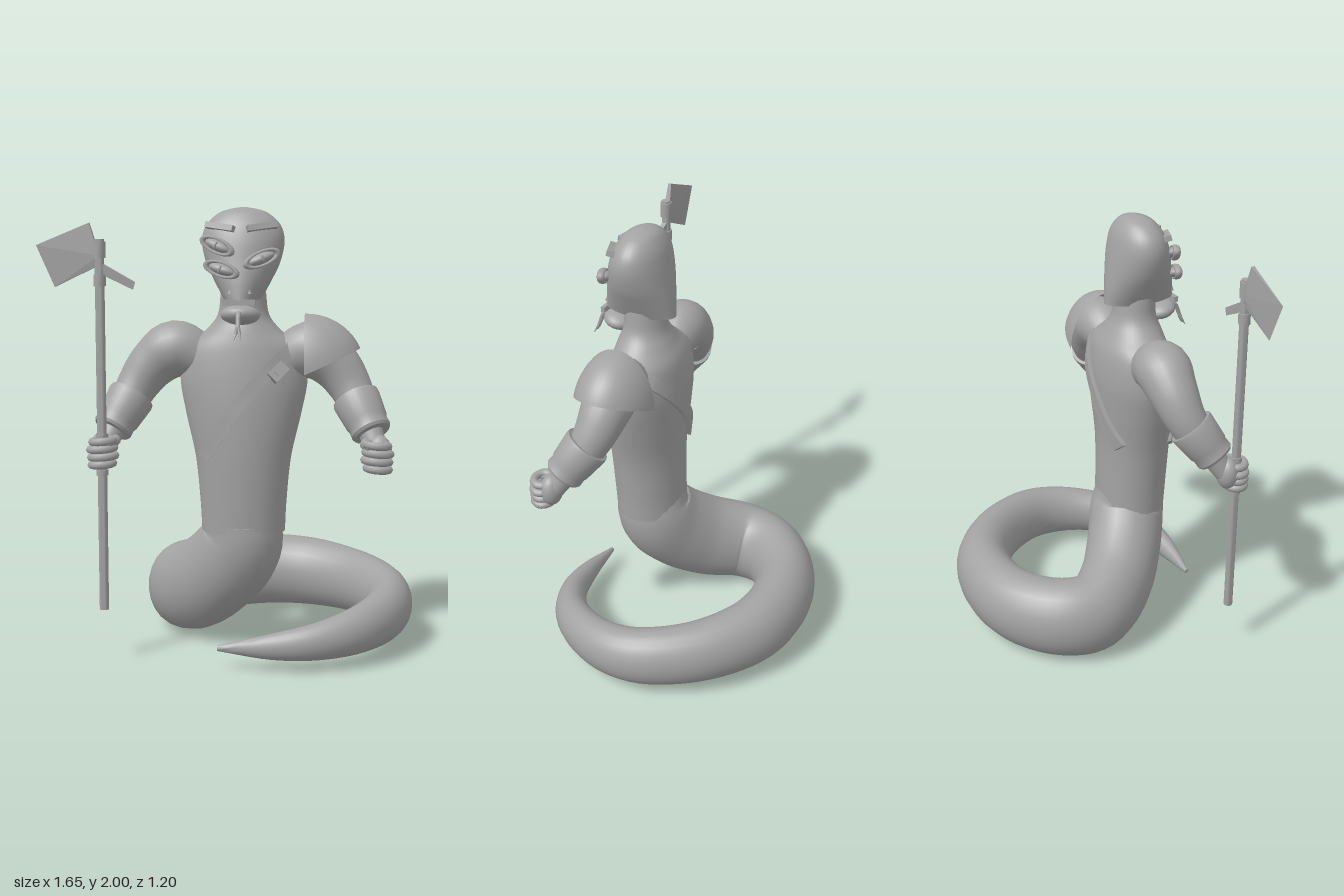
import * as THREE from 'three';
import { toCreasedNormals } from 'three/addons/utils/BufferGeometryUtils.js';
import { ConvexGeometry } from 'three/addons/geometries/ConvexGeometry.js';

const V = (x, y, z) => new THREE.Vector3(x, y, z);
const CX = 0.055; // the body's own centre line

// smooth interpolation between rows of numbers
function smooth(rows, n) {
  const f = new THREE.CubicInterpolant(rows.map((_, i) => i), rows.flat(), rows[0].length);
  return Array.from({ length: n + 1 }, (_, i) => Array.from(f.evaluate((i / n) * (rows.length - 1))));
}

// closed surface over a list of rings, with end caps
function skin(rings, crease = 0.8) {
  const m = rings[0].length, pos = [], idx = [];
  const add = (p) => pos.push(p.x, p.y, p.z) / 3 - 1;
  rings.forEach((r) => r.forEach(add));
  for (let i = 0; i < rings.length - 1; i++) {
    for (let j = 0; j < m; j++) {
      const a = i * m + j, b = i * m + (j + 1) % m;
      idx.push(a, b, a + m, b, b + m, a + m);
    }
  }
  [0, rings.length - 1].forEach((k) => {
    const c = add(rings[k].reduce((s, p) => s.add(p), V(0, 0, 0)).divideScalar(m));
    for (let j = 0; j < m; j++) {
      const a = k * m + j, b = k * m + (j + 1) % m;
      if (k) idx.push(c, a, b); else idx.push(c, b, a);
    }
  });
  const g = new THREE.BufferGeometry();
  g.setAttribute('position', new THREE.Float32BufferAttribute(pos, 3));
  g.setIndex(idx);
  return toCreasedNormals(g, crease);
}

// horizontal oval sections: [y, rx, cz, rz]
const loft = (rows, n, m = 32) => skin(smooth(rows, n).map(([y, rx, cz, rz]) =>
  Array.from({ length: m }, (_, j) => {
    const a = (j / m) * Math.PI * 2;
    return V(CX + rx * Math.cos(a), y, cz - rz * Math.sin(a));
  })));

// round section carried along a path: [x, y, z, r], stretched upward by ky
function sweep(rows, n, ky = 1, m = 24) {
  const pts = smooth(rows, n), c = pts.map((p) => V(p[0], p[1], p[2]));
  const N = V(0, 0, 1);
  return skin(c.map((p, i) => {
    const T = c[Math.min(i + 1, n)].clone().sub(c[Math.max(i - 1, 0)]).normalize();
    N.addScaledVector(T, -N.dot(T)).normalize();
    const B = T.clone().cross(N);
    return Array.from({ length: m }, (_, j) => {
      const a = (j / m) * Math.PI * 2, r = Math.max(pts[i][3], 0.002);
      const o = N.clone().multiplyScalar(r * Math.cos(a)).addScaledVector(B, r * Math.sin(a));
      o.y *= ky;
      return o.add(p);
    });
  }));
}

const TORSO = [
  [0.56, 0.188, 0.245, 0.163], [0.7, 0.195, 0.25, 0.165], [0.9, 0.215, 0.255, 0.168],
  [1.1, 0.26, 0.248, 0.174], [1.25, 0.285, 0.24, 0.172], [1.38, 0.262, 0.24, 0.155],
  [1.46, 0.17, 0.25, 0.127], [1.53, 0.115, 0.255, 0.1], [1.63, 0.1, 0.26, 0.09]];

// depth of the chest (side 1) or back (side -1) at x, y
function bodyZ(x, y, side) {
  const k = Math.max(1, TORSO.findIndex((r) => r[0] > y)), a = TORSO[k - 1], b = TORSO[k];
  const t = (y - a[0]) / (b[0] - a[0]);
  const [rx, cz, rz] = [1, 2, 3].map((i) => a[i] + (b[i] - a[i]) * t);
  return cz + side * rz * Math.sqrt(Math.max(0.05, 1 - ((x - CX) / rx) ** 2));
}

// flat band lying on the body, running from hip to shoulder
function band(path, side) {
  const n = 20, w = 0.03;
  const rings = smooth(path, n).map(([x, y]) => {
    const p = [[-1, 0.02], [1, 0.02], [1, -0.015], [-1, -0.015]].map(([s, d]) => {
      const px = x + s * w * 0.75, py = y - s * w * 0.68;
      return V(px, py, bodyZ(px, py, side) + side * d);
    });
    return side > 0 ? p.reverse() : p;
  });
  return skin(rings, 0.6);
}

export function createModel() {
  const model = new THREE.Group();
  const grey = new THREE.MeshStandardMaterial({ color: 0xa3a3a3, side: THREE.DoubleSide });
  grey.name = 'stone grey';
  const add = (parent, name, geo, x = 0, y = 0, z = 0) => {
    const mesh = new THREE.Mesh(geo, grey);
    mesh.name = name;
    mesh.position.set(x, y, z);
    parent.add(mesh);
    return mesh;
  };
  const ball = (parent, name, p, s) => {
    const mesh = add(parent, name, new THREE.SphereGeometry(1, 20, 14), ...p);
    mesh.scale.set(...s);
    return mesh;
  };

  // coiled tail
  add(model, 'tail', sweep([
    [0.055, 0.62, 0.25, 0.165], [0.05, 0.5, 0.23, 0.18], [-0.04, 0.37, 0.17, 0.18],
    [-0.17, 0.255, 0.06, 0.175], [-0.28, 0.2, -0.1, 0.163], [-0.25, 0.195, -0.27, 0.155],
    [-0.09, 0.195, -0.41, 0.148], [0.12, 0.2, -0.46, 0.142], [0.35, 0.2, -0.42, 0.135],
    [0.57, 0.195, -0.26, 0.122], [0.705, 0.185, -0.03, 0.112], [0.7, 0.17, 0.19, 0.1],
    [0.58, 0.15, 0.4, 0.085], [0.4, 0.125, 0.515, 0.066], [0.2, 0.105, 0.548, 0.045],
    [-0.03, 0.09, 0.542, 0.01]], 90, 1.25));

  add(model, 'torso', loft(TORSO, 48));

  // head
  const head = new THREE.Group();
  head.name = 'head';
  model.add(head);
  add(head, 'skull', loft([
    [1.6, 0.082, 0.278, 0.172], [1.68, 0.125, 0.275, 0.163], [1.76, 0.163, 0.272, 0.148],
    [1.85, 0.182, 0.27, 0.13], [1.92, 0.165, 0.266, 0.108], [1.97, 0.115, 0.262, 0.075],
    [1.99, 0.065, 0.26, 0.045], [2, 0.008, 0.26, 0.006]], 36));
  ball(head, 'lowerJaw', [CX, 1.535, 0.385], [0.087, 0.042, 0.075]).rotation.x = -0.2;
  add(head, 'upperLip', new THREE.BoxGeometry(0.14, 0.025, 0.02), CX, 1.592, 0.438);
  add(head, 'tongue', sweep([[CX, 1.55, 0.42, 0.012], [CX, 1.54, 0.47, 0.011],
    [CX, 1.49, 0.495, 0.01]], 8, 1, 8));
  for (const s of [-1, 1]) {
    add(head, 'tongueFork', sweep([[CX, 1.495, 0.494, 0.009], [CX + s * 0.007, 1.465, 0.505, 0.007],
      [CX + s * 0.015, 1.435, 0.522, 0.002]], 6, 1, 8));
    add(head, 'nostril', new THREE.ConeGeometry(0.014, 0.035, 3), CX + s * 0.042, 1.645, 0.425);
    const brow = add(head, 'brow', new THREE.BoxGeometry(0.135, 0.026, 0.035), CX + s * 0.09, 1.912, 0.365);
    brow.rotation.set(-0.3, s * 0.35, s * 0.24);
  }
  // three slanted eyes: x, y, z, yaw, roll
  for (const [x, y, z, yaw, roll] of [[-0.04, 1.832, 0.392, -0.35, -0.38],
    [-0.02, 1.732, 0.412, -0.3, -0.28], [0.145, 1.778, 0.4, 0.35, 0.38]]) {
    const eye = new THREE.Group();
    eye.name = 'eye';
    eye.position.set(x, y, z);
    eye.rotation.set(0, yaw, roll);
    head.add(eye);
    ball(eye, 'eyeball', [0, 0, 0], [0.066, 0.024, 0.036]);
    const lid = add(eye, 'eyelidRim', new THREE.TorusGeometry(0.07, 0.014, 8, 28), 0, 0, 0.012);
    lid.scale.set(1.05, 0.42, 1.2);
    ball(eye, 'pupil', [0, 0, 0.03], [0.007, 0.02, 0.01]);
  }

  // arms, the second mirrored about the centre line
  for (const side of ['right', 'left']) {
    const arm = new THREE.Group();
    arm.name = side + 'Arm';
    if (side === 'left') {
      arm.scale.x = -1;
      arm.position.x = CX * 2;
    }
    model.add(arm);
    add(arm, 'upperArm', sweep([[-0.13, 1.335, 0.24, 0.1], [-0.25, 1.375, 0.24, 0.128],
      [-0.35, 1.31, 0.24, 0.112], [-0.42, 1.215, 0.26, 0.095], [-0.47, 1.11, 0.31, 0.078],
      [-0.515, 1.02, 0.37, 0.055], [-0.545, 0.95, 0.41, 0.045]], 30));
    // flared bracer
    const start = V(-0.445, 1.165, 0.285), end = V(-0.52, 1.025, 0.375);
    const bracer = add(arm, 'bracer', toCreasedNormals(new THREE.LatheGeometry([
      [0.05, 0], [0.082, 0], [0.09, 0.012], [0.088, 0.045], [0.094, 0.06], [0.106, 0.17],
      [0.104, 0.185], [0.07, 0.185]].map((p) => new THREE.Vector2(...p)), 28), 0.6));
    bracer.position.copy(end);
    bracer.quaternion.setFromUnitVectors(V(0, 1, 0), start.sub(end).normalize());
    // closed fist
    ball(arm, 'palm', [-0.55, 0.95, 0.42], [0.056, 0.075, 0.05]);
    for (let i = 0; i < 4; i++) {
      const finger = add(arm, 'finger', new THREE.TorusGeometry(0.042, 0.018, 8, 20),
        -0.545 + 0.004 * (i % 2), 0.885 + i * 0.034, 0.465);
      finger.rotation.set(Math.PI / 2, 0.08, 0);
      finger.scale.x = 1.25 - 0.1 * Math.abs(i - 1.5);
    }
    add(arm, 'thumb', sweep([[-0.5, 0.99, 0.4, 0.022], [-0.49, 0.985, 0.45, 0.022],
      [-0.515, 0.975, 0.5, 0.016]], 10, 1, 10));
  }

  // shoulder guard: wedge of an ellipsoid with its poles front and back
  const dome = new THREE.SphereGeometry(1, 24, 24, Math.PI + 0.43, 1.17);
  dome.rotateX(Math.PI / 2);
  dome.scale(0.26, 0.255, 0.182);
  add(model, 'shoulderGuard', dome, 0.335, 1.28, 0.248);

  // shoulder strap with buckle
  add(model, 'frontStrap', band([[-0.11, 0.91], [0.03, 1.12], [0.14, 1.25], [0.3, 1.415]], 1));
  add(model, 'backStrap', band([[-0.09, 0.93], [0.04, 1.12], [0.15, 1.25], [0.3, 1.415]], -1));
  for (const [name, w, h, d] of [['buckle', 0.085, 0.055, 0.03], ['bucklePin', 0.035, 0.022, 0.045]]) {
    const b = add(model, name, new THREE.BoxGeometry(w, h, d), 0.22, 1.29, bodyZ(0.22, 1.29, 1) + 0.02);
    b.rotation.set(0, 0.45, 0.8, 'ZYX');
  }

  // axe
  const axe = new THREE.Group();
  axe.name = 'axe';
  axe.position.set(-0.545, 0, 0.467);
  model.add(axe);
  const rod = (name, r, y0, y1) =>
    add(axe, name, toCreasedNormals(new THREE.CylinderGeometry(r, r, y1 - y0, 16), 0.8), 0, (y0 + y1) / 2, 0);
  rod('shaft', 0.021, 0.23, 1.86);
  for (const [a, b] of [[1.78, 1.85], [1.66, 1.71], [0.835, 0.86], [1, 1.02]]) rod('collar', 0.027, a, b);
  add(axe, 'blade', new ConvexGeometry([V(-0.277, 1.835, 0), V(-0.197, 1.655, 0),
    V(-0.042, 1.93, 0.008), V(-0.042, 1.93, -0.008), V(0, 1.79, 0.016), V(0, 1.79, -0.016),
    V(-0.01, 1.745, 0.01), V(-0.01, 1.745, -0.01)]));
  add(axe, 'backSpike', new ConvexGeometry([V(0.155, 1.678, 0), V(0.145, 1.645, 0),
    V(-0.02, 1.775, 0.016), V(-0.02, 1.775, -0.016), V(0, 1.715, 0.012), V(0, 1.715, -0.012)]));

  return model;
}
